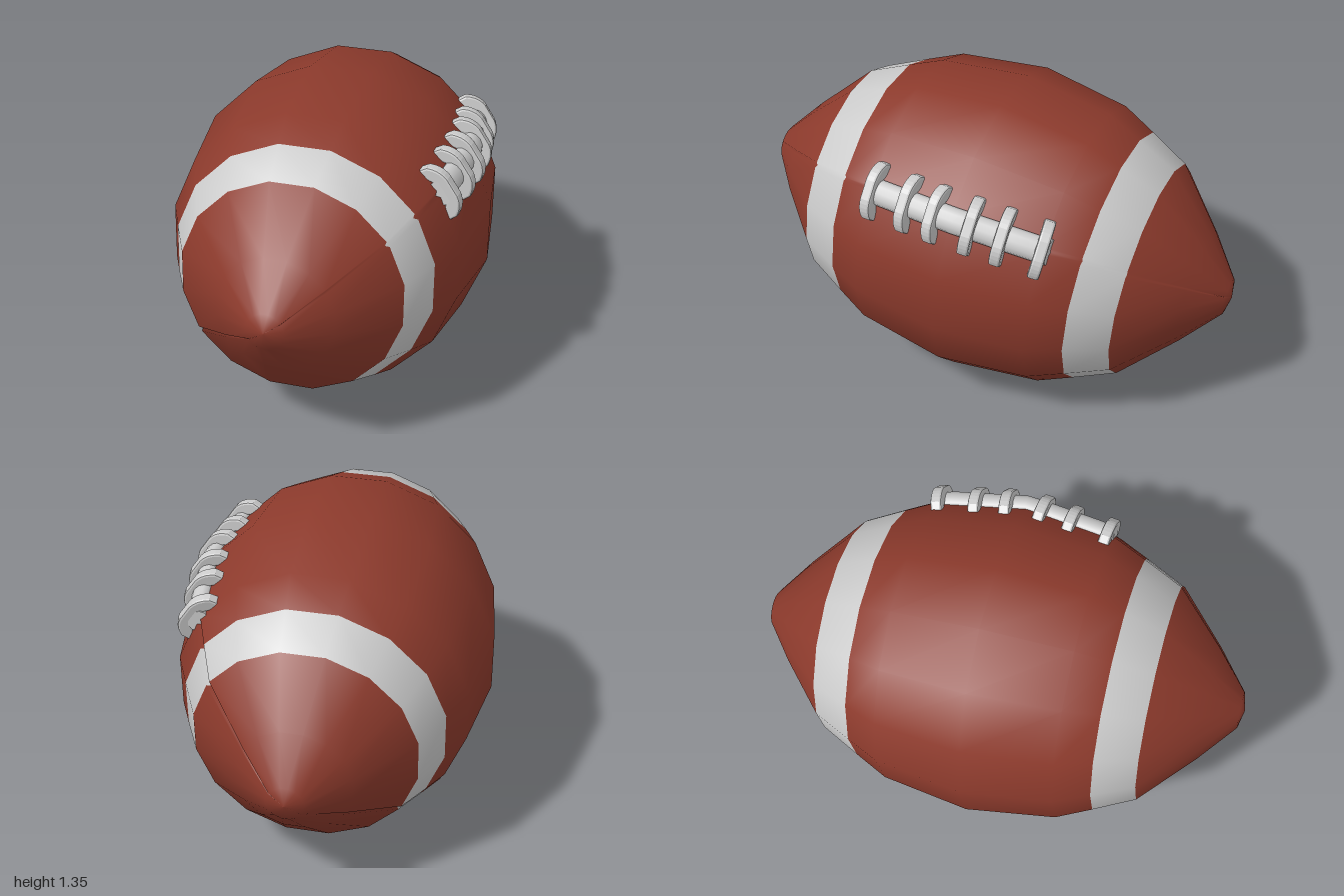
import * as THREE from 'three';

// Half profile along the long axis: [distance from middle, radius]
const HALF = [[0, 0.69], [0.39, 0.635], [0.54, 0.565], [0.715, 0.48], [0.93, 0.25], [1.07, 0.08], [1.087, 0]];
const PROFILE = [...HALF.slice(1).reverse().map(([x, r]) => [-x, r]), ...HALF];

function radiusAt(x) {
  const a = Math.abs(x);
  const i = Math.max(1, HALF.findIndex(p => p[0] >= a));
  const [x0, r0] = HALF[i - 1], [x1, r1] = HALF[i];
  return r0 + (r1 - r0) * (a - x0) / (x1 - x0);
}

// Sixteen sides, with a narrow sunken groove at the two opposite seams
function ringAngles() {
  const out = [];
  for (let k = 0; k < 16; k++) {
    const a = k * Math.PI / 8;
    if (k % 8 === 0) out.push([a - 0.025, 0], [a, 0.016], [a + 0.025, 0]);
    else out.push([a, 0]);
  }
  return out;
}

// The skin is one smooth surface whose faces are shared out to hide and stripes
function buildSkin(hideMat, stripeMat) {
  const angles = ringAngles(), n = angles.length, pos = [];
  for (const [x, r] of PROFILE) {
    for (const [a, dip] of angles) {
      const rr = r - dip * Math.min(1, r / 0.3);
      pos.push(x, rr * Math.cos(a), rr * Math.sin(a));
    }
  }
  const parts = { hide: [], leftStripe: [], rightStripe: [] };
  for (let i = 0; i < PROFILE.length - 1; i++) {
    const mid = (PROFILE[i][0] + PROFILE[i + 1][0]) / 2;
    const striped = Math.abs(mid) > 0.54 && Math.abs(mid) < 0.715;
    const list = parts[striped ? (mid > 0 ? 'leftStripe' : 'rightStripe') : 'hide'];
    for (let j = 0; j < n; j++) {
      const a = i * n + j, b = i * n + (j + 1) % n, c = a + n, d = b + n;
      if (i > 0) list.push(a, b, c);
      if (i === 0) list.push(a, d, c);
      else if (i < PROFILE.length - 2) list.push(b, d, c);
    }
  }
  const whole = new THREE.BufferGeometry();
  whole.setAttribute('position', new THREE.Float32BufferAttribute(pos, 3));
  whole.setIndex(Object.values(parts).flat());
  whole.computeVertexNormals();
  return Object.entries(parts).map(([name, index]) => {
    const g = new THREE.BufferGeometry();
    g.setAttribute('position', whole.attributes.position);
    g.setAttribute('normal', whole.attributes.normal);
    g.setIndex(index);
    const mesh = new THREE.Mesh(g, name === 'hide' ? hideMat : stripeMat);
    mesh.name = name;
    return mesh;
  });
}

// Long lace: a flattened rod bent to follow the skin along the seam
function buildLongLace(mat) {
  const g = new THREE.CylinderGeometry(0.055, 0.055, 0.81, 12, 10);
  g.rotateZ(-Math.PI / 2);
  g.translate(0.012, 0, 0);
  const p = g.attributes.position;
  for (let i = 0; i < p.count; i++) {
    p.setY(i, p.getY(i) * 0.75 + radiusAt(p.getX(i)) + 0.004);
  }
  g.computeVertexNormals();
  const mesh = new THREE.Mesh(g, mat);
  mesh.name = 'longLace';
  return mesh;
}

// Cross lace: a bevelled arch, its ends resting on the skin
function crossLaceGeometry() {
  const s = new THREE.Shape();
  s.moveTo(-0.115, -0.03);
  s.lineTo(-0.112, 0.008);
  s.quadraticCurveTo(-0.085, 0.05, -0.04, 0.056);
  s.lineTo(0.04, 0.056);
  s.quadraticCurveTo(0.085, 0.05, 0.112, 0.008);
  s.lineTo(0.115, -0.03);
  s.lineTo(0.09, -0.03);
  s.quadraticCurveTo(0.06, 0.02, 0, 0.025);
  s.quadraticCurveTo(-0.06, 0.02, -0.09, -0.03);
  const g = new THREE.ExtrudeGeometry(s, {
    depth: 0.03, curveSegments: 5, bevelEnabled: true,
    bevelSize: 0.01, bevelThickness: 0.01, bevelSegments: 2,
  });
  g.translate(0, 0, -0.015);
  g.rotateY(Math.PI / 2);
  return g;
}

export function createModel() {
  const hideMat = new THREE.MeshStandardMaterial({ color: 0x8c3a2c });
  const greyMat = new THREE.MeshStandardMaterial({ color: 0xcccccc });

  const ball = new THREE.Group();
  ball.name = 'ball';
  ball.add(...buildSkin(hideMat, greyMat), buildLongLace(greyMat));

  const laceGeo = crossLaceGeometry();
  [-0.365, -0.2, -0.067, 0.087, 0.222, 0.385].forEach((x, i) => {
    const lace = new THREE.Mesh(laceGeo, greyMat);
    lace.name = `crossLace${i + 1}`;
    lace.position.set(x, radiusAt(x), 0);
    lace.rotation.z = Math.atan2(radiusAt(x + 0.02) - radiusAt(x - 0.02), 0.04);
    ball.add(lace);
  });

  // Tilt: long axis across the front, laces facing up and forward
  const axis = new THREE.Vector3(0.892, -0.092, -0.442).normalize();
  const side = axis.clone().cross(new THREE.Vector3(0.415, 0.564, 0.718)).normalize();
  const up = side.clone().cross(axis);
  ball.quaternion.setFromRotationMatrix(new THREE.Matrix4().makeBasis(axis, up, side));
  ball.position.y = 0.68;

  const model = new THREE.Group();
  model.name = 'football';
  model.add(ball);
  return model;
}
